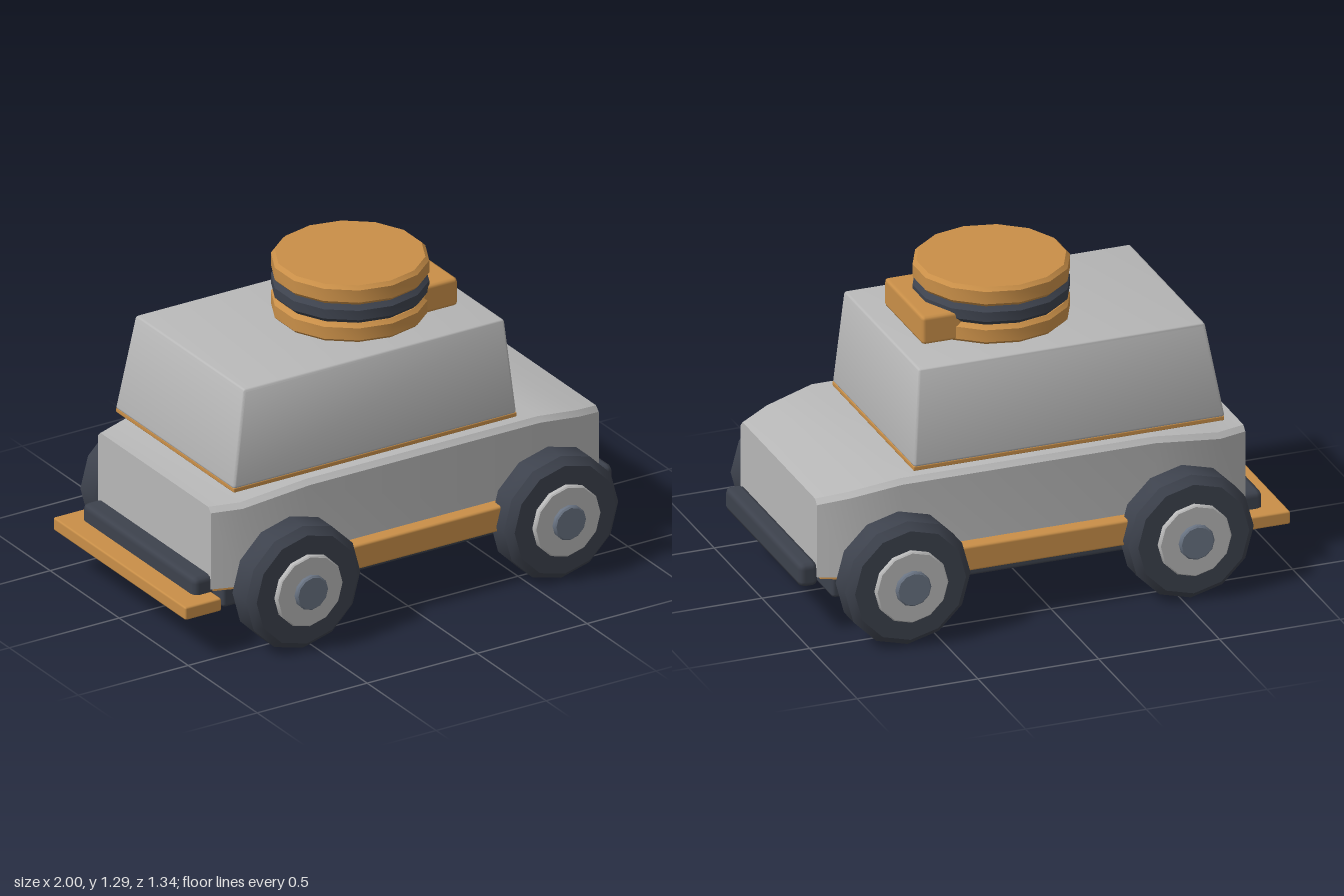
import * as THREE from 'three';
import { toCreasedNormals } from 'three/addons/utils/BufferGeometryUtils.js';
import { RoundedBoxGeometry } from 'three/addons/geometries/RoundedBoxGeometry.js';

const material = (name, color) => {
  const m = new THREE.MeshStandardMaterial({ color });
  m.name = name;
  return m;
};

// Box with bevelled edges, given by its limits on each axis
function bevelBox([x0, x1], [y0, y1], [z0, z1], bevel) {
  const g = new RoundedBoxGeometry(x1 - x0, y1 - y0, z1 - z0, 1, bevel);
  return g.translate((x0 + x1) / 2, (y0 + y1) / 2, (z0 + z1) / 2);
}

// Disc from y0 to y1 with bevelled rims
function bevelDisc(radius, y0, y1, bevel, sides) {
  const profile = [
    [0, y0], [radius - bevel, y0], [radius, y0 + bevel],
    [radius, y1 - bevel], [radius - bevel, y1], [0, y1],
  ].map(([r, y]) => new THREE.Vector2(r, y));
  return toCreasedNormals(new THREE.LatheGeometry(profile, sides), 0.6);
}

// Hull lofted along x from stations of [x, half width, top, bottom]
function loft(stations, bevel) {
  const rings = stations.map(([x, w, top, bottom]) => [
    [x, bottom, -w], [x, top - bevel, -w], [x, top, bevel - w],
    [x, top, w - bevel], [x, top - bevel, w], [x, bottom, w],
  ]);
  const n = 6, last = rings.length - 1, index = [];
  for (let i = 0; i < last; i++) {
    for (let j = 0; j < n; j++) {
      const a = i * n + j, b = i * n + (j + 1) % n;
      index.push(a, b, b + n, a, b + n, a + n);
    }
  }
  for (let j = 1; j < n - 1; j++) {
    index.push(0, j + 1, j, last * n, last * n + j, last * n + j + 1);
  }
  const g = new THREE.BufferGeometry();
  g.setAttribute('position', new THREE.Float32BufferAttribute(rings.flat(2), 3));
  g.setIndex(index);
  return toCreasedNormals(g, 0.5);
}

// Cabin block that narrows towards the roof
function cabinGeometry() {
  const g = new RoundedBoxGeometry(1.29, 0.395, 0.86, 2, 0.012);
  const p = g.attributes.position;
  for (let i = 0; i < p.count; i++) {
    const t = p.getY(i) / 0.395 + 0.5;
    p.setXYZ(i, p.getX(i) * (1 - 0.08 * t) - 0.105 + 0.018 * t,
      p.getY(i) + 0.8575, p.getZ(i) * (1 - 0.085 * t));
  }
  return toCreasedNormals(g, 0.6);
}

export function createModel() {
  const grey = material('light grey', 0xb8b8b8);
  const orange = material('ochre', 0xc98f48);
  const dark = material('dark slate', 0x3d424d);
  const steel = material('blue steel', 0x697382);
  const model = new THREE.Group();
  model.name = 'offRoader';

  const add = (name, geometry, mat, parent = model) => {
    const mesh = new THREE.Mesh(geometry, mat);
    mesh.name = name;
    parent.add(mesh);
    return mesh;
  };

  // Lower body with tapered ends, and the floor plate under it
  const stations = [
    [-0.84, 0.41, 0.595], [-0.72, 0.45, 0.6], [-0.44, 0.487, 0.645],
    [0.61, 0.487, 0.645], [0.81, 0.45, 0.605], [0.93, 0.4, 0.575],
  ];
  add('body', loft(stations.map((s) => [...s, 0.25]), 0.02), grey);
  add('floorPlate', loft(stations.map(([x, w]) => [x * 0.98, w - 0.01, 0.252, 0.235]), 0.003), orange);
  add('underbody', bevelBox([-0.77, 0.86], [0.14, 0.238], [-0.385, 0.385], 0.015), dark);

  // Cabin on its thin coloured trim
  add('cabin', cabinGeometry(), grey);
  add('cabinTrim', bevelBox([-0.747, 0.54], [0.645, 0.664], [-0.428, 0.428], 0.004), orange);

  // Bumpers and rear step
  add('frontBumper', bevelBox([0.92, 1], [0.21, 0.31], [-0.4, 0.4], 0.025), dark);
  add('rearBumper', bevelBox([-0.915, -0.82], [0.21, 0.31], [-0.41, 0.41], 0.025), dark);
  add('rearStep', bevelBox([-1, -0.835], [0.185, 0.24], [-0.48, 0.48], 0.008), orange);

  // Side sills
  for (const side of [1, -1]) {
    const z = side > 0 ? [0.44, 0.545] : [-0.545, -0.44];
    add('sill', bevelBox([-0.34, 0.44], [0.24, 0.345], z, 0.01), orange);
  }

  // Roof turret of three stacked discs, with a block in front
  const turret = new THREE.Group();
  turret.name = 'roofTurret';
  turret.position.x = 0.05;
  model.add(turret);
  add('turretBase', bevelDisc(0.307, 1.052, 1.133, 0.015, 14), orange, turret);
  add('turretBand', bevelDisc(0.307, 1.133, 1.213, 0.02, 14), dark, turret);
  add('turretLid', bevelDisc(0.307, 1.213, 1.295, 0.015, 14), orange, turret);
  add('turretBlock', bevelBox([0.2, 0.365], [1.06, 1.178], [-0.203, 0.203], 0.015), orange, turret);

  // Wheels, each built around y and then laid outwards
  const tyre = bevelDisc(0.26, 0.472, 0.63, 0.03, 12);
  const hub = bevelDisc(0.15, 0.61, 0.652, 0.005, 12);
  const cap = bevelDisc(0.072, 0.63, 0.672, 0.006, 12);
  for (const x of [-0.54, 0.633]) {
    for (const side of [1, -1]) {
      const wheel = new THREE.Group();
      wheel.name = x > 0 ? 'frontWheel' : 'rearWheel';
      wheel.position.set(x, 0.263, 0);
      wheel.rotation.x = side * Math.PI / 2;
      add('tyre', tyre, dark, wheel);
      add('hub', hub, grey, wheel);
      add('hubCap', cap, steel, wheel);
      model.add(wheel);
    }
  }
  return model;
}
